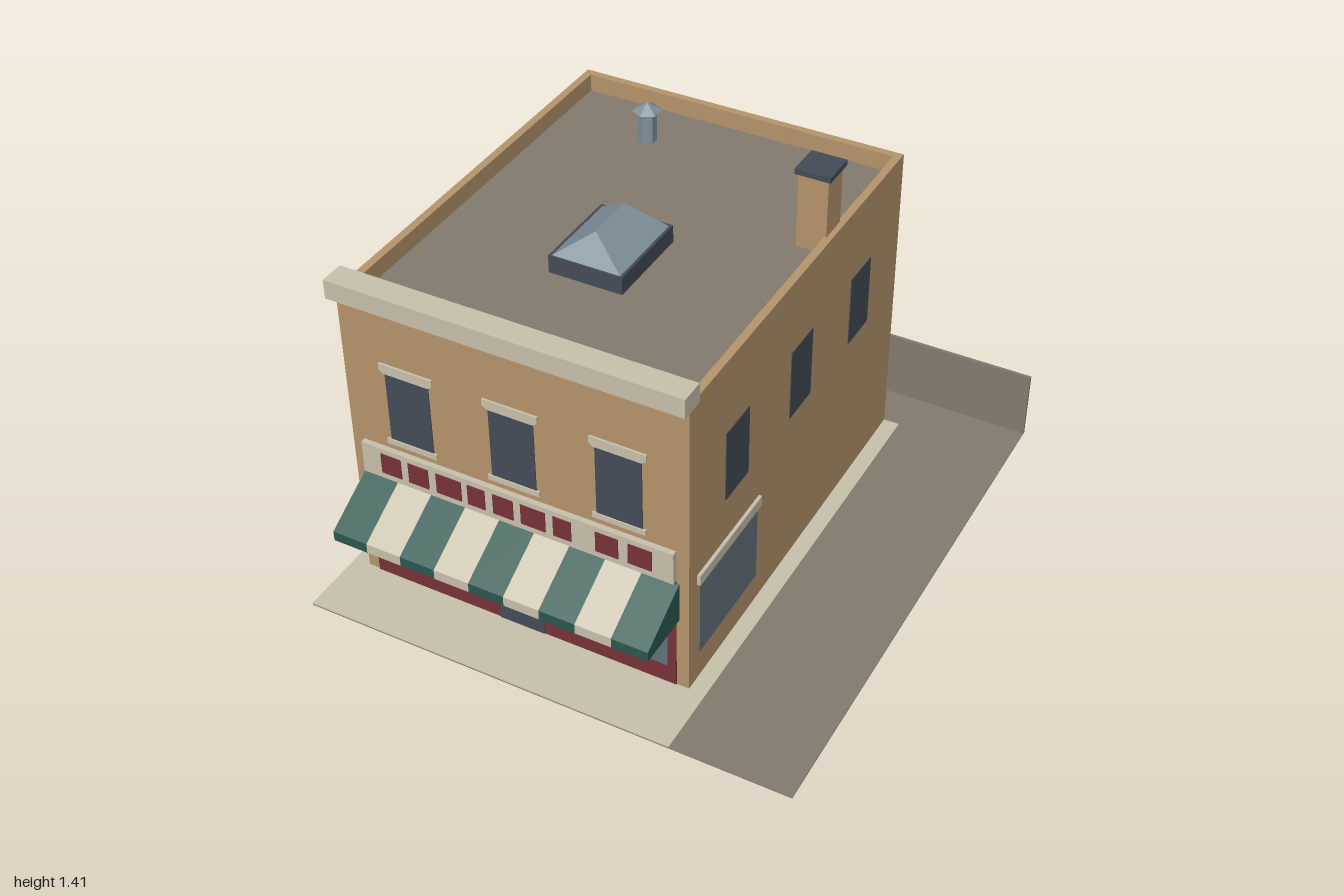
import * as THREE from 'three';

const paint = (name, color) => {
  const m = new THREE.MeshStandardMaterial({ color });
  m.name = name;
  return m;
};

export function createModel() {
  const model = new THREE.Group();
  model.name = 'cornerShop';
  const tan = paint('tanBrick', 0xb5946b);
  const cream = paint('creamStone', 0xc8c0ac);
  const grey = paint('tarGrey', 0x847a6f);
  const red = paint('shopRed', 0x763236);
  const green = paint('awningGreen', 0x2a584e);
  const slate = paint('darkSlate', 0x434c57);
  const glass = paint('shopGlass', 0x61727b);
  const metal = paint('paleMetal', 0x7f919a);

  const add = (name, geometry, material, x = 0, y = 0, z = 0) => {
    const mesh = new THREE.Mesh(geometry, material);
    mesh.name = name;
    mesh.position.set(x, y, z);
    model.add(mesh);
    return mesh;
  };
  // Box from its lower and upper limits on each axis
  const box = (name, mat, x0, x1, y0, y1, z0, z1) =>
    add(name, new THREE.BoxGeometry(x1 - x0, y1 - y0, z1 - z0), mat,
      (x0 + x1) / 2, (y0 + y1) / 2, (z0 + z1) / 2);

  const L = -0.84, R = 0.41, B = -0.815, F = 0.75, TOP = 1.175, ROOF = 1.11;

  // Ground
  box('yard', grey, -0.9, 0.9, 0.001, 0.005, -1, 1);
  box('pavement', cream, -0.9, 0.47, 0, 0.009, -0.815, 1);
  box('backFence', grey, -0.9, 0.9, 0.002, 0.265, -1, -0.988);

  // Walls, roof and parapet
  box('walls', tan, L, R, 0.004, ROOF - 0.004, B, F);
  box('roof', grey, L + 0.02, R - 0.02, ROOF - 0.004, ROOF, B + 0.02, F - 0.02);
  const ring = new THREE.Shape([[L, -F], [R, -F], [R, -B], [L, -B]].map(p => new THREE.Vector2(...p)));
  const t = 0.028;
  ring.holes.push(new THREE.Path([[L + t, -F + t], [L + t, -B - t], [R - t, -B - t], [R - t, -F + t]]
    .map(p => new THREE.Vector2(...p))));
  const parapet = new THREE.ExtrudeGeometry(ring, { depth: TOP - ROOF + 0.004, bevelEnabled: false });
  add('parapet', parapet.rotateX(-Math.PI / 2), tan, 0, ROOF - 0.004, 0);
  box('cornice', cream, L - 0.007, R + 0.01, 1.165, 1.235, 0.705, 0.795);

  // Upper front windows with flared lintels and sills
  const lintel = new THREE.Shape([[-0.085, 0], [0.085, 0], [0.1, 0.012], [0.1, 0.036], [-0.1, 0.036], [-0.1, 0.012]]
    .map(p => new THREE.Vector2(...p)));
  for (const x of [-0.6, -0.215, 0.167]) {
    box('frontWindow', slate, x - 0.082, x + 0.082, 0.635, 0.905, F - 0.002, F + 0.003);
    add('windowLintel', new THREE.ExtrudeGeometry(lintel, { depth: 0.01, bevelEnabled: false }), cream, x, 0.903, F - 0.002);
    box('windowSill', cream, x - 0.095, x + 0.095, 0.615, 0.635, F - 0.002, F + 0.008);
  }

  // Shopfront
  box('shopfront', red, -0.795, 0.365, 0.009, 0.466, F - 0.002, F + 0.004);
  for (const [x0, x1] of [[-0.762, -0.32], [-0.11, 0.335]])
    box('displayWindow', glass, x0, x1, 0.085, 0.41, F, F + 0.007);
  box('shopDoor', slate, -0.302, -0.13, 0.009, 0.41, F, F + 0.007);
  box('doorGlass', glass, -0.278, -0.152, 0.13, 0.38, F, F + 0.009);

  // Sign band with coloured panels
  box('signBand', cream, -0.795, 0.365, 0.466, 0.59, F - 0.002, F + 0.02);
  const panels = [[-0.72, -0.642], [-0.614, -0.536], [-0.506, -0.41], [-0.386, -0.32], [-0.29, -0.214],
    [-0.186, -0.095], [-0.066, 0], [0.088, 0.17], [0.205, 0.29]];
  for (const [x0, x1] of panels)
    box('signPanel', red, x0, x1, 0.49, 0.57, F + 0.018, F + 0.023);

  // Striped awning, one wedge for each stripe
  const stripe = 1.18 / 9;
  const wedge = new THREE.Shape([[-F, 0.3], [-F, 0.455], [-0.955, 0.338], [-0.955, 0.3]]
    .map(p => new THREE.Vector2(...p)));
  const wedgeGeometry = new THREE.ExtrudeGeometry(wedge, { depth: stripe, bevelEnabled: false }).rotateY(Math.PI / 2);
  for (let i = 0; i < 9; i++)
    add('awningStripe', wedgeGeometry, i % 2 ? cream : green, -0.805 + i * stripe, 0, 0);

  // Both side walls
  for (const [x, s] of [[R, 1], [L, -1]]) {
    const plate = (name, mat, y0, y1, z0, z1, d) =>
      box(name, mat, Math.min(x - s * 0.002, x + s * d), Math.max(x - s * 0.002, x + s * d), y0, y1, z0, z1);
    for (const z of [0.432, -0.028, -0.49])
      plate('sideWindow', slate, 0.632, 0.9, z - 0.079, z + 0.079, 0.003);
    plate('sideDisplayWindow', glass, 0.12, 0.425, 0.28, 0.685, 0.004);
    plate('sideLintel', cream, 0.425, 0.465, 0.265, 0.697, 0.012);
  }

  // Back wall
  for (const x of [0.07, -0.49])
    box('backWindow', slate, x - 0.08, x + 0.08, 0.632, 0.9, B - 0.003, B + 0.002);
  box('backDoor', slate, -0.04, 0.115, 0.009, 0.37, B - 0.004, B + 0.002);
  box('backGlass', glass, -0.58, -0.4, 0.12, 0.405, B - 0.004, B + 0.002);

  // Chimney
  box('chimney', tan, 0.283, 0.39, ROOF - 0.002, 1.388, -0.335, -0.228);
  box('chimneyCap', slate, 0.273, 0.4, 1.388, 1.408, -0.346, -0.219);

  // Skylight: a box whose top is drawn in to a ridge
  box('skylightCurb', slate, -0.35, -0.08, ROOF - 0.002, TOP, -0.06, 0.28);
  let hip = new THREE.BoxGeometry(0.25, 0.09, 0.322);
  const p = hip.attributes.position;
  for (let i = 0; i < p.count; i++)
    if (p.getY(i) > 0) p.setXYZ(i, 0, p.getY(i), Math.sign(p.getZ(i)) * 0.092);
  hip = hip.toNonIndexed();
  hip.computeVertexNormals();
  add('skylightGlass', hip, metal, -0.215, TOP + 0.045, 0.112);

  // Roof vent and bins, six-sided with flat faces
  const hex = (name, r0, r1, h, x, y, z) => {
    const g = new THREE.CylinderGeometry(r1, r0, h, 6).toNonIndexed();
    g.computeVertexNormals();
    add(name, g, metal, x, y + h / 2, z);
  };
  hex('ventPipe', 0.034, 0.034, 0.125, -0.465, ROOF - 0.002, -0.583);
  hex('ventCap', 0.053, 0, 0.033, -0.465, 1.228, -0.583);
  for (const x of [-0.75, -0.634]) hex('bin', 0.047, 0.047, 0.14, x, 0.004, -0.887);

  return model;
}
